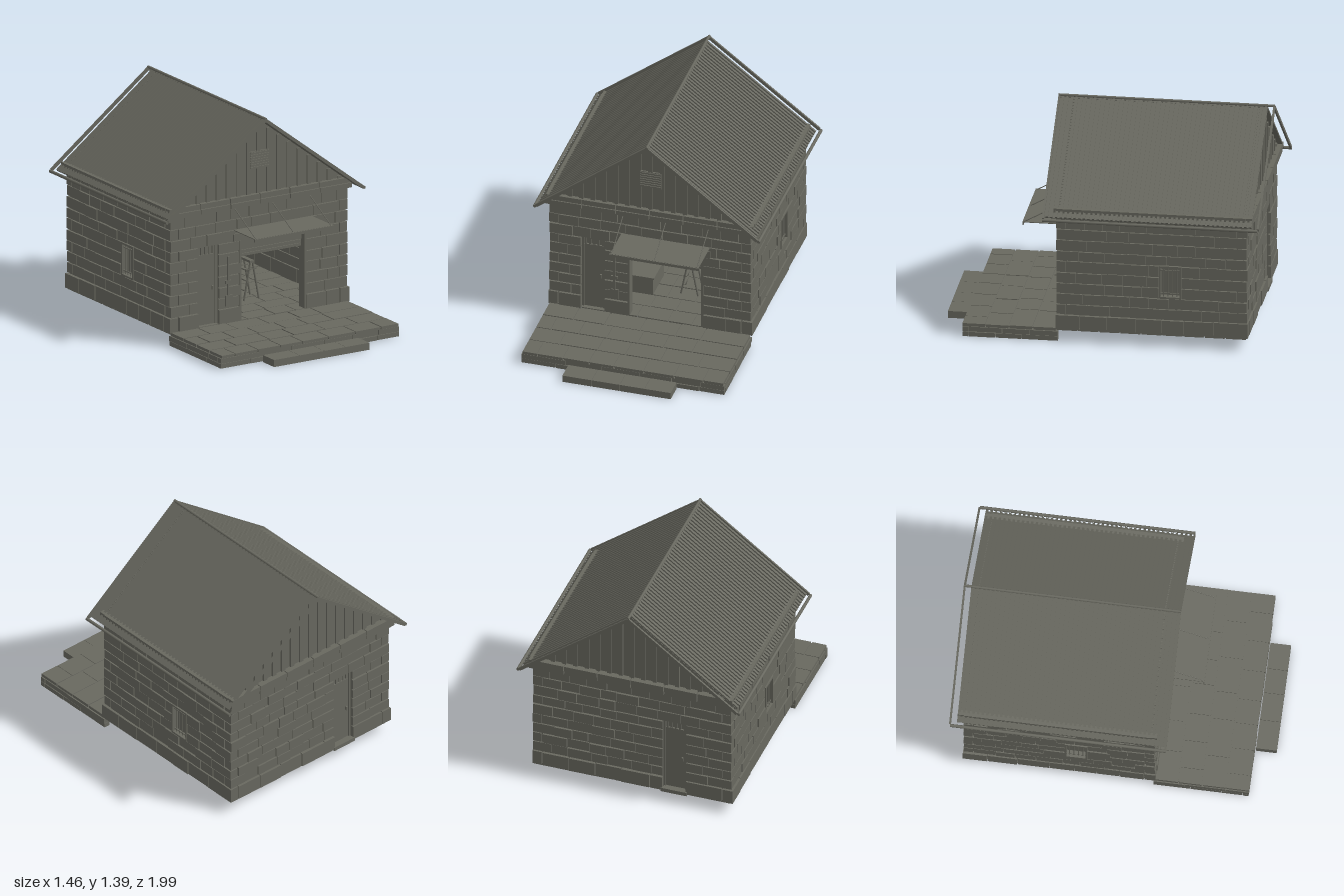
import * as THREE from 'three';
import { mergeGeometries } from 'three/addons/utils/BufferGeometryUtils.js';

const stone = new THREE.MeshStandardMaterial({ color: 0x68685f });
stone.name = 'grey stone';

// Seeded random for stone sizes
let seed = 11;
const rand = () => (seed = (seed * 16807) % 2147483647) / 2147483647;

// Box from its limits
function box(x0, x1, y0, y1, z0, z1) {
  return new THREE.BoxGeometry(x1 - x0, y1 - y0, z1 - z0)
    .translate((x0 + x1) / 2, (y0 + y1) / 2, (z0 + z1) / 2);
}

// Thin rod between two points
function rod(a, b, r = 0.004, sides = 6) {
  const p = new THREE.Vector3(...a), q = new THREE.Vector3(...b);
  const d = q.clone().sub(p);
  const g = new THREE.CylinderGeometry(r, r, d.length(), sides);
  g.applyQuaternion(new THREE.Quaternion().setFromUnitVectors(new THREE.Vector3(0, 1, 0), d.normalize()));
  return g.translate((p.x + q.x) / 2, (p.y + q.y) / 2, (p.z + q.z) / 2);
}

function part(parent, name, geoms) {
  const mesh = new THREE.Mesh(mergeGeometries(geoms), stone);
  mesh.name = name;
  parent.add(mesh);
  return mesh;
}

// Split a span into uneven lengths
function split(a, b, size, offset = 0) {
  const cuts = [a];
  let u = a + size * (offset || 0.75 + rand() * 0.5);
  while (u < b - size * 0.4) { cuts.push(u); u += size * (0.75 + rand() * 0.5); }
  return [...cuts, b];
}

const COURSES = [0.08, 0.18, 0.25, 0.32, 0.39, 0.46, 0.535, 0.6, 0.675, 0.745, 0.818];
const T = 0.06;

// Coursed stone wall; outer face at local z = 0, openings as [u0, u1, y0, y1]
function wall(u0, u1, openings, parity) {
  const geoms = [];
  const shape = new THREE.Shape([[u0 + 0.02, 0.08], [u1 - 0.02, 0.08], [u1 - 0.02, 0.818], [u0 + 0.02, 0.818]]
    .map(p => new THREE.Vector2(...p)));
  for (const [a, b, y0, y1] of openings) {
    shape.holes.push(new THREE.Path([[a, Math.max(y0, 0.085)], [a, y1], [b, y1], [b, Math.max(y0, 0.085)]]
      .map(p => new THREE.Vector2(...p))));
  }
  geoms.push(new THREE.ExtrudeGeometry(shape, { depth: T - 0.026, bevelEnabled: false })
    .translate(0, 0, -T + 0.013).toNonIndexed());
  for (let i = 0; i < COURSES.length - 1; i++) {
    const y0 = COURSES[i], y1 = COURSES[i + 1];
    const trim = i % 2 === parity ? T + 0.002 : 0;
    const base = i === 0 ? 0.006 : 0;
    let spans = [[u0 + trim - (trim ? 0 : base), u1 - trim + (trim ? 0 : base)]];
    for (const [a, b, oy0, oy1] of openings) {
      if (y1 <= oy0 + 0.02 || y0 >= oy1 - 0.02) continue;
      spans = spans.flatMap(([s, e]) => (a > s && b < e ? [[s, a], [b, e]] : [[s, e]]));
    }
    for (const [s, e] of spans) {
      const cuts = split(s, e, i === 0 ? 0.17 : 0.135);
      for (let k = 0; k < cuts.length - 1; k++) {
        geoms.push(box(cuts[k] + 0.002, cuts[k + 1] - 0.002, y0 + 0.002 + rand() * 0.003,
          y1 - 0.002 - rand() * 0.003, -T + rand() * 0.005, base + (rand() - 0.5) * 0.008).toNonIndexed());
      }
    }
  }
  return geoms;
}

// Staggered paving slabs with a thin bed between their top and bottom faces
function paving(x0, x1, z0, z1, rows, y0, y1) {
  const geoms = [box(x0 + 0.01, x1 - 0.01, y0 + 0.008, y1 - 0.006, z0 + 0.01, z1 - 0.01)];
  const d = (z1 - z0) / rows;
  for (let i = 0; i < rows; i++) {
    const cuts = split(x0, x1, 0.2, i % 2 ? 0.5 : 1);
    for (let k = 0; k < cuts.length - 1; k++) {
      geoms.push(box(cuts[k] + 0.004, cuts[k + 1] - 0.004, y0, y1 - rand() * 0.003,
        z0 + i * d + 0.004, z0 + (i + 1) * d - 0.004));
    }
  }
  return geoms;
}

// Plank door filling x0..x1, standing at local z
function door(x0, x1, z) {
  const xm = (x0 + x1) / 2, g = [box(x0, x1, 0.09, 0.54, z - 0.012, z), box(x0, x1, 0.59, 0.6, z - 0.012, z)];
  g.push(box(x0, x0 + 0.012, 0.09, 0.6, z - 0.016, z + 0.008), box(x1 - 0.012, x1, 0.09, 0.6, z - 0.016, z + 0.008));
  for (let i = 0; i < 5; i++) g.push(box(x0 + 0.012 + i * 0.028, x0 + 0.026 + i * 0.028, 0.54, 0.59, z - 0.01, z - 0.002));
  g.push(box(x0, x1, 0.54, 0.59, z - 0.016, z - 0.012), box(xm + 0.04, xm + 0.052, 0.31, 0.335, z, z + 0.012));
  return g;
}

// Barred window in a wall's local frame
function barredWindow(u0, u1) {
  const y0 = 0.32, y1 = 0.535, g = [
    box(u0, u1, y0, y0 + 0.012, -0.04, 0.004), box(u0, u1, y1 - 0.012, y1, -0.04, 0.004),
    box(u0, u0 + 0.01, y0, y1, -0.04, 0.004), box(u1 - 0.01, u1, y0, y1, -0.04, 0.004),
    box(u0, u1, y0, y1, -0.05, -0.044)];
  for (let i = 1; i < 5; i++) g.push(rod([u0 + (u1 - u0) * i / 5, y0, -0.012], [u0 + (u1 - u0) * i / 5, y1, -0.012], 0.003));
  for (const f of [0.15, 0.85]) g.push(box(u0, u1, y0 + (y1 - y0) * f - 0.003, y0 + (y1 - y0) * f + 0.003, -0.016, -0.008));
  return g;
}

export function createModel() {
  const model = new THREE.Group();
  model.name = 'stoneHut';
  const add = (name, geoms) => part(model, name, geoms);

  // Walls
  const side = Math.PI / 2;
  add('frontWall', wall(-0.65, 0.65, [[-0.445, -0.295, 0.08, 0.6], [-0.14, 0.34, 0.08, 0.6]], 0)).position.z = 0.28;
  const back = new THREE.Group();
  back.name = 'backSide';
  back.rotation.y = Math.PI;
  back.position.z = -0.91;
  part(back, 'backWall', wall(-0.65, 0.65, [[0.2, 0.35, 0.08, 0.6]], 0));
  part(back, 'backDoor', door(0.2, 0.35, -0.03));
  part(back, 'backDoorstep', [box(0.19, 0.36, 0.075, 0.1, -0.05, 0.012)]);
  const right = new THREE.Group(), left = new THREE.Group();
  right.name = 'positiveXSide';
  left.name = 'negativeXSide';
  right.rotation.y = side;
  left.rotation.y = -side;
  right.position.x = 0.65;
  left.position.x = -0.65;
  part(right, 'sideWall', wall(-0.28, 0.91, [[0.36, 0.5, 0.32, 0.535]], 1));
  part(right, 'sideWindow', barredWindow(0.36, 0.5));
  part(left, 'sideWall', wall(-0.91, 0.28, [[-0.28, -0.14, 0.32, 0.535]], 1));
  part(left, 'sideWindow', barredWindow(-0.28, -0.14));
  model.add(back, right, left);

  // Floor, terrace and step
  add('floor', paving(-0.645, 0.645, -0.905, 0.28, 9, 0.072, 0.09));
  add('terrace', paving(-0.65, 0.65, 0.28, 0.87, 4, 0.068, 0.088));
  const skirt = [];
  for (const [y0, y1] of [[0.004, 0.033], [0.036, 0.067]]) {
    const front = split(-0.655, 0.655, 0.24);
    for (let k = 0; k < front.length - 1; k++) skirt.push(box(front[k] + 0.002, front[k + 1] - 0.002, y0, y1, 0.83, 0.868 - rand() * 0.005));
    for (const s of [-1, 1]) {
      const cuts = split(0.27, 0.828, 0.2);
      for (let k = 0; k < cuts.length - 1; k++) {
        const a = s * 0.61, b = s * (0.655 - rand() * 0.006);
        skirt.push(box(Math.min(a, b), Math.max(a, b), y0, y1, cuts[k] + 0.002, cuts[k + 1] - 0.002));
      }
    }
  }
  add('terraceSkirt', skirt);
  const stepCuts = [-0.35, -0.16, 0.02, 0.18, 0.35];
  add('step', [0, 1, 2, 3].map(i => box(stepCuts[i] + 0.001, stepCuts[i + 1] - 0.001, 0, 0.045, 0.872, 1)));

  // Wall plate boards
  const plate = [];
  for (const z of [0.27, -0.925]) {
    for (let i = -3; i < 3; i++) {
      const a = i === -3 ? -0.67 : i * 0.218, b = i === 2 ? 0.67 : (i + 1) * 0.218;
      plate.push(box(a + 0.003, b - 0.003, 0.852, 0.885, z - 0.02, z + 0.025),
        box(a + 0.003, b - 0.003, 0.82, 0.85, z - 0.015, z + 0.03));
    }
  }
  for (const s of [-1, 1]) plate.push(box(s * 0.648 - 0.022, s * 0.648 + 0.022, 0.82, 0.885, -0.905, 0.255));
  add('wallPlate', plate);

  // Gables with stepped edges and vertical ribs
  const outline = [];
  const N = 40, w = 0.655 / N, topAt = x => 1.366 - 0.763 * x;
  for (let i = 0; i < N; i++) {
    const y = Math.max(topAt(0.655 - i * w - w / 2), 0.882);
    outline.push(new THREE.Vector2(0.655 - i * w, y), new THREE.Vector2(0.655 - (i + 1) * w, y));
  }
  const mirrored = outline.slice(0, -1).reverse().map(p => new THREE.Vector2(-p.x, p.y));
  const gableShape = new THREE.Shape([new THREE.Vector2(-0.655, 0.88), new THREE.Vector2(0.655, 0.88), ...outline, ...mirrored]);
  for (const [name, z, s] of [['frontGable', 0.262, 1], ['backGable', -0.9, -1]]) {
    const g = [new THREE.ExtrudeGeometry(gableShape, { depth: 0.01, bevelEnabled: false }).translate(0, 0, z - 0.005).toNonIndexed()];
    for (let i = -8; i <= 8; i++) {
      const x = i * 0.074;
      g.push(box(x - 0.014, x + 0.014, 0.88, topAt(Math.abs(x) + 0.018), z + s * 0.008 - 0.008, z + s * 0.008 + 0.008).toNonIndexed());
    }
    add(name, g);
  }
  const vent = [box(-0.068, 0.075, 1.045, 1.158, 0.27, 0.28)];
  for (let i = 0; i < 7; i++) vent.push(box(-0.064, 0.071, 1.05 + i * 0.0155, 1.06 + i * 0.0155, 0.28, 0.286));
  add('gableVent', vent);

  // Ribbed roof sheets, verge boards, ridge and gutters
  const angle = Math.atan2(0.545, 0.715);
  for (const s of [-1, 1]) {
    const slope = new THREE.Group();
    slope.name = 'roofSlope';
    slope.position.y = 1.38;
    slope.rotation.z = -s * angle;
    const span = (a, b, y0, y1, z0, z1) => box(Math.min(s * a, s * b), Math.max(s * a, s * b), y0, y1, z0, z1);
    const sheet = [span(0, 0.885, -0.016, -0.009, -0.945, 0.35)];
    for (let i = 0; i < 45; i++) sheet.push(span(0, 0.885, -0.01, 0, -0.943 + i * 0.0288, -0.928 + i * 0.0288));
    part(slope, 'roofSheet', sheet);
    part(slope, 'vergeBoards', [0.348, -0.992].map(z => span(0, 0.9, -0.016, 0.004, z, z + 0.012)));
    model.add(slope);
    add('gutter', [rod([s * 0.722, 0.825, -0.985], [s * 0.722, 0.825, 0.358], 0.01, 10)]);
  }
  add('ridgeCap', [rod([0, 1.38, -0.99], [0, 1.38, 0.36], 0.009, 8)]);

  // Front door and service opening
  add('frontDoor', door(-0.445, -0.295, 0.25));
  add('openingFrame', [box(-0.145, -0.13, 0.09, 0.6, 0.225, 0.284), box(0.33, 0.345, 0.09, 0.6, 0.225, 0.284),
    box(-0.19, 0.39, 0.602, 0.65, 0.27, 0.288)]);
  add('rolledShutter', [box(-0.13, 0.33, 0.53, 0.6, 0.23, 0.25), box(-0.13, 0.33, 0.505, 0.526, 0.234, 0.246),
    box(-0.13, 0.33, 0.485, 0.502, 0.236, 0.244)]);

  // Flat canopy hung on rods
  const canopy = [box(-0.185, 0.385, 0.672, 0.677, 0.28, 0.525), box(-0.19, 0.39, 0.658, 0.676, 0.522, 0.53)];
  for (const x of [-0.175, 0.1, 0.375]) canopy.push(rod([x, 0.81, 0.275], [x, 0.674, 0.522], 0.003));
  add('canopy', canopy.map(g => g.toNonIndexed()));

  // Fittings beside the door
  add('wallFittings', [box(-0.25, -0.2, 0.195, 0.265, 0.28, 0.292), box(-0.235, -0.222, 0.265, 0.515, 0.28, 0.29),
    box(-0.25, -0.207, 0.34, 0.36, 0.28, 0.29)]);

  // Indoor furniture
  add('counter', [box(-0.38, -0.06, 0.09, 0.205, -0.22, 0.02), box(-0.39, -0.05, 0.205, 0.217, -0.23, 0.03)]);
  add('shelves', [0.41, 0.475].map(y => box(-0.14, 0.35, y, y + 0.01, -0.85, -0.76)));
  const ladder = [box(0.14, 0.17, 0.33, 0.345, -0.16, -0.04)];
  for (const z of [-0.15, -0.05]) {
    for (const s of [-1, 1]) ladder.push(rod([0.155 + s * 0.055, 0.09, z], [0.155 + s * 0.008, 0.335, z], 0.006));
    ladder.push(box(0.115, 0.195, 0.285, 0.293, z - 0.004, z + 0.004));
  }
  for (const f of [0.25, 0.5, 0.75]) {
    const x = 0.1 + 0.047 * f, y = 0.09 + 0.245 * f;
    ladder.push(box(x - 0.006, x + 0.012, y, y + 0.007, -0.15, -0.05));
  }
  add('stepladder', ladder);
  return model;
}
